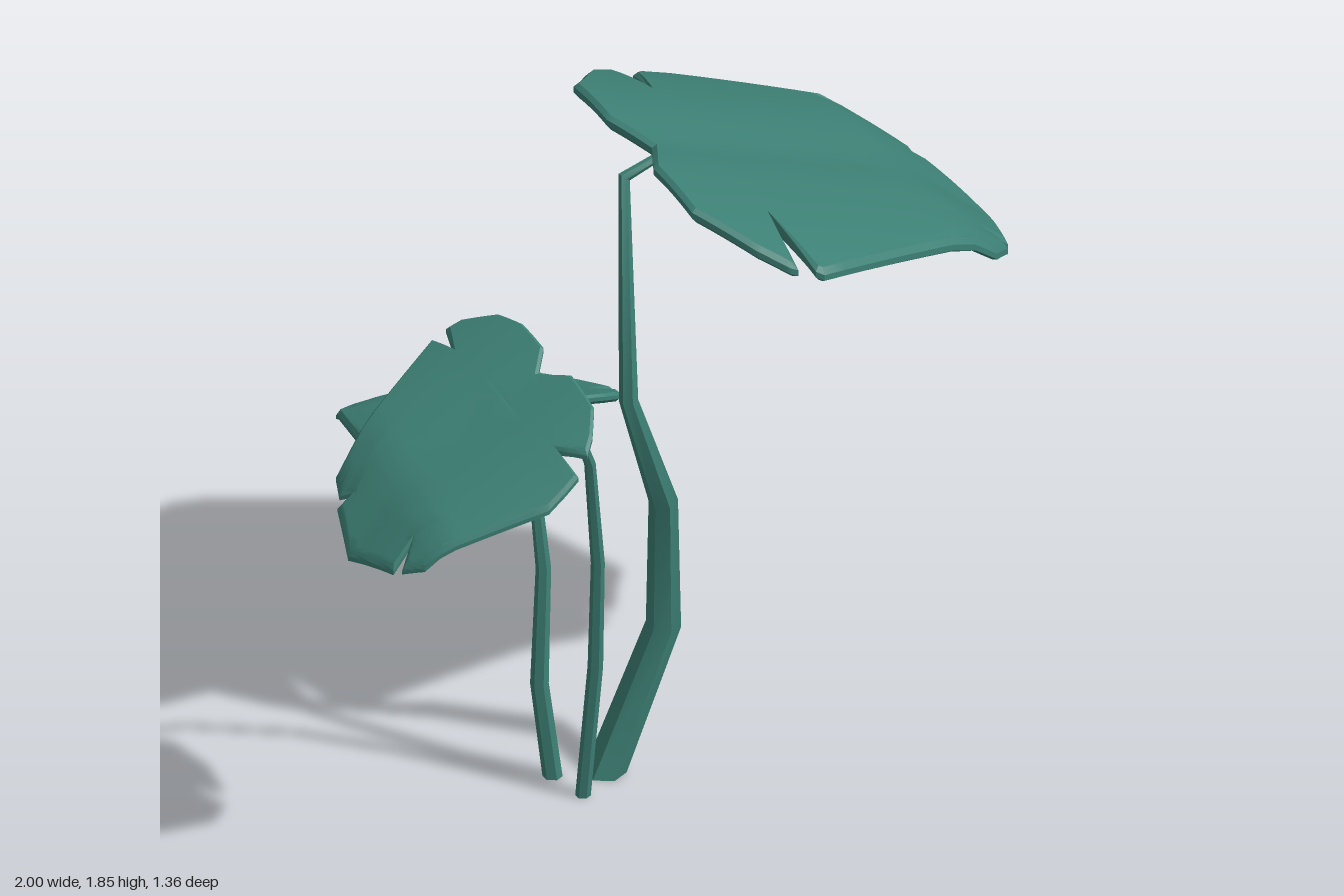
import * as THREE from 'three';
import { toCreasedNormals } from 'three/addons/utils/BufferGeometryUtils.js';

const green = new THREE.MeshStandardMaterial({ color: 0x3d8075 });
green.name = 'leafGreen';

// Split every triangle into four, so a flat plate can bend smoothly
function subdivide(geometry, times) {
  let tris = Array.from((geometry.index ? geometry.toNonIndexed() : geometry).attributes.position.array);
  for (let t = 0; t < times; t++) {
    const out = [];
    for (let i = 0; i < tris.length; i += 9) {
      const [a, b, c] = [0, 3, 6].map((k) => tris.slice(i + k, i + k + 3));
      const mid = (p, q) => p.map((v, k) => (v + q[k]) / 2);
      const ab = mid(a, b), bc = mid(b, c), ca = mid(c, a);
      out.push(...a, ...ab, ...ca, ...ab, ...b, ...bc, ...ca, ...bc, ...c, ...ab, ...bc, ...ca);
    }
    tris = out;
  }
  const g = new THREE.BufferGeometry();
  g.setAttribute('position', new THREE.Float32BufferAttribute(tris, 3));
  return g;
}

// Leaf: a notched plan outline (x, z), sloped from its base, creased along the
// midrib, drooping at the sides and folded down at the tip
function leaf(name, outline, o) {
  const shape = new THREE.Shape(outline.map(([x, z]) => new THREE.Vector2(x, -z)));
  const bevel = o.thick * 0.3;
  const plate = new THREE.ExtrudeGeometry(shape, {
    depth: o.thick - 2 * bevel, bevelEnabled: true, bevelThickness: bevel,
    bevelSize: bevel, bevelOffset: -bevel, bevelSegments: 1,
  });
  plate.rotateX(-Math.PI / 2);
  const g = subdivide(plate, 3);
  const p = g.attributes.position;
  const [bx, by, bz] = o.base, [dx, dz] = o.dir;
  for (let i = 0; i < p.count; i++) {
    const x = p.getX(i) - bx, z = p.getZ(i) - bz;
    const u = x * dx + z * dz;
    const v = x * -dz + z * dx;
    const h = by - o.slope * u + o.tilt * v + o.crease * Math.abs(v) - o.droop * v * v
      - o.fold * Math.max(0, u - o.foldAt);
    p.setY(i, p.getY(i) + h - (o.thick - bevel));
  }
  const mesh = new THREE.Mesh(toCreasedNormals(g, 0.5), green);
  mesh.name = name;
  return mesh;
}

// Stem: a six-sided tapering stalk through points [x, y, z, radius]
function stem(name, points) {
  const n = points.length;
  const path = points.map(([x, y, z]) => new THREE.Vector3(x, y, z));
  const up = new THREE.Vector3(0, 1, 0);
  const turns = path.map((p, i) => {
    const tangent = i === 0 ? up.clone()
      : path[Math.min(i + 1, n - 1)].clone().sub(p).normalize()
        .add(p.clone().sub(path[i - 1]).normalize()).normalize();
    return new THREE.Quaternion().setFromUnitVectors(up, tangent);
  });
  const g = new THREE.CylinderGeometry(1, 1, 1, 6, n - 1);
  const pos = g.attributes.position;
  const v = new THREE.Vector3();
  for (let i = 0; i < pos.count; i++) {
    v.fromBufferAttribute(pos, i);
    const row = Math.round((v.y + 0.5) * (n - 1));
    v.setY(0).multiplyScalar(points[row][3]).applyQuaternion(turns[row]).add(path[row]);
    pos.setXYZ(i, v.x, v.y, v.z);
  }
  const mesh = new THREE.Mesh(toCreasedNormals(g, 0.6), green);
  mesh.name = name;
  return mesh;
}

export function createModel() {
  const plant = new THREE.Group();
  plant.name = 'broadLeafPlant';

  // Large upper leaf, pointing to +x
  plant.add(leaf('largeLeaf', [
    [-0.03, -0.3], [-0.045, -0.08], [0.02, 0.05], [-0.055, 0.21], [-0.055, 0.43], [0.06, 0.57],
    [0.13, 0.625], [0.15, 0.63], [0.17, 0.43], [0.2, 0.63], [0.22, 0.64], [0.82, 0.43], [0.9, 0.33],
    [0.86, 0.29], [0.92, 0.29], [1, 0.05], [0.93, -0.2], [0.86, -0.185], [0.915, -0.24], [0.84, -0.34],
    [0.36, -0.54], [0.27, -0.535], [0.24, -0.5], [0.2, -0.32], [0.19, -0.52], [0.11, -0.49], [0.02, -0.36],
  ], { base: [0, 1.82, 0.05], dir: [1, 0], slope: 0.33, tilt: 0, crease: 0.15, droop: 0.43,
    fold: 0.52, foldAt: 0.72, thick: 0.042 }));

  // Middle leaf, pointing to -x and leaning forward
  plant.add(leaf('middleLeaf', [
    [-0.94, 0.16], [-0.6, 0.03], [-0.58, 0.11], [-0.56, 0.03], [-0.52, 0.04], [-0.45, 0.11], [-0.42, 0.19],
    [-0.41, 0.29], [-0.45, 0.34], [-0.39, 0.41], [-0.385, 0.53], [-0.42, 0.59], [-0.45, 0.62],
    [-0.505, 0.56], [-0.49, 0.65], [-0.53, 0.66], [-0.585, 0.67], [-0.89, 0.57], [-0.93, 0.52],
    [-0.89, 0.49], [-0.945, 0.5], [-1, 0.35], [-0.97, 0.23], [-0.93, 0.24], [-0.955, 0.21],
  ], { base: [-0.44, 1.41, 0.35], dir: [-1, 0], slope: 0.55, tilt: 0.3, crease: 0.12, droop: 0.65,
    fold: 0.55, foldAt: 0.4, thick: 0.028 }));

  // Low leaf, pointing to the back
  plant.add(leaf('lowLeaf', [
    [-0.52, -0.64], [-0.365, -0.685], [-0.21, -0.645], [-0.225, -0.6], [-0.18, -0.63], [-0.12, -0.59],
    [0, -0.32], [0.03, -0.23], [0.035, -0.2], [-0.03, -0.185], [0.03, -0.16], [0, -0.1], [-0.05, -0.075],
    [-0.2, -0.055], [-0.295, -0.085], [-0.34, -0.045], [-0.51, -0.043], [-0.6, -0.085], [-0.64, -0.12],
    [-0.65, -0.16], [-0.53, -0.18], [-0.67, -0.2], [-0.65, -0.28], [-0.58, -0.55], [-0.565, -0.59],
    [-0.5, -0.585], [-0.535, -0.615],
  ], { base: [-0.31, 1.045, -0.06], dir: [0, -1], slope: 0.33, tilt: 0, crease: 0.15, droop: 0.7,
    fold: 0.5, foldAt: 0.5, thick: 0.028 }));

  // Stalks
  plant.add(stem('largeStem', [
    [-0.115, 0, 0.05, 0.056], [0.048, 0.4, 0.06, 0.046], [0.01, 0.81, 0.135, 0.038],
    [-0.122, 1.17, 0.2, 0.025], [-0.06, 1.735, 0.05, 0.017], [0.05, 1.775, 0.05, 0.012],
  ]));
  plant.add(stem('middleStem', [
    [-0.22, 0, 0.135, 0.02], [-0.207, 0.4, 0.18, 0.02], [-0.215, 0.72, 0.21, 0.018],
    [-0.255, 1.04, 0.245, 0.015], [-0.37, 1.325, 0.285, 0.012], [-0.45, 1.385, 0.31, 0.01],
  ]));
  plant.add(stem('lowStem', [
    [-0.245, 0, 0.01, 0.026], [-0.28, 0.28, 0.005, 0.024], [-0.272, 0.62, 0.012, 0.02],
    [-0.288, 0.95, -0.03, 0.014], [-0.305, 1.01, -0.11, 0.01],
  ]));
  return plant;
}
